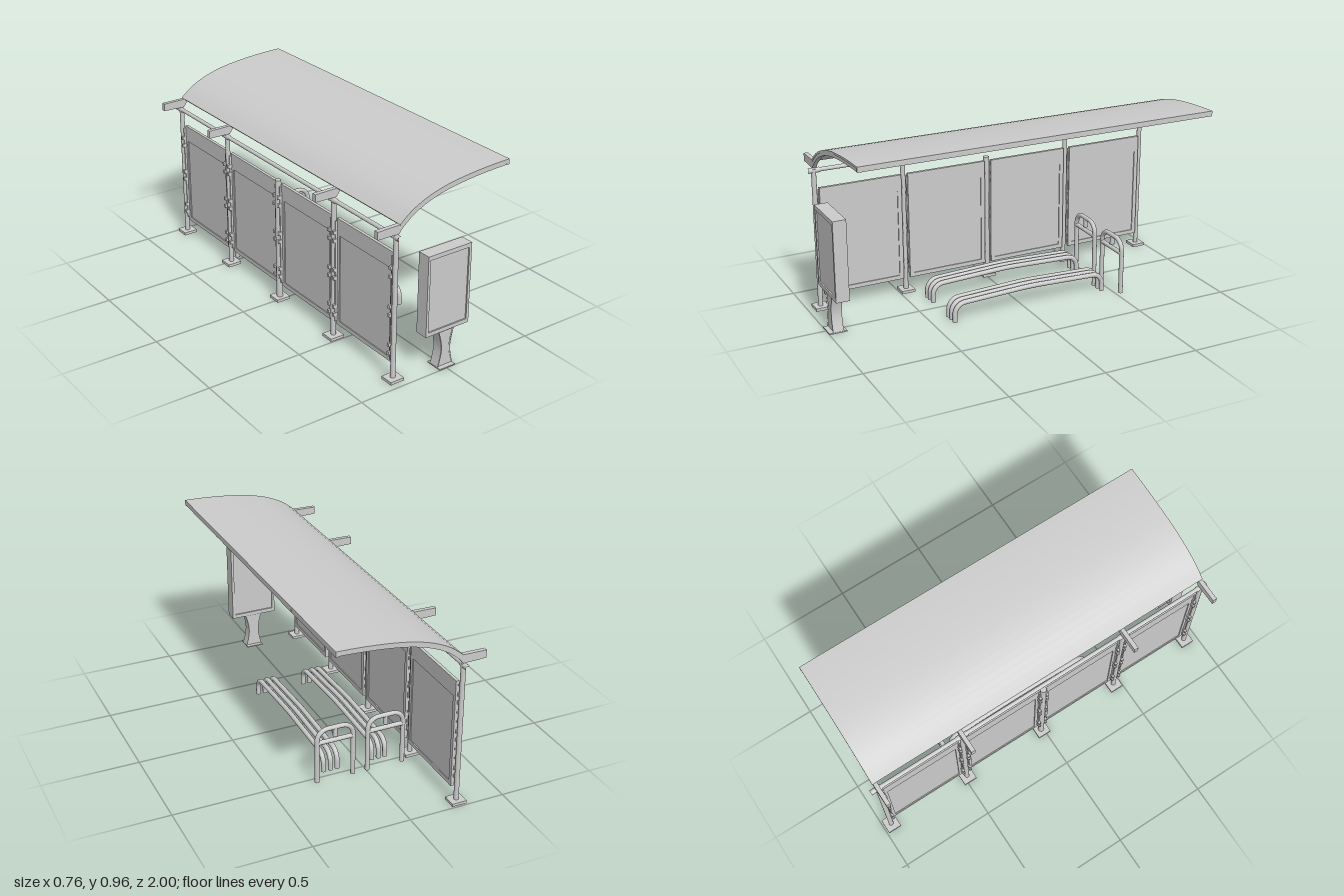
import * as THREE from 'three';
import { toCreasedNormals } from 'three/addons/utils/BufferGeometryUtils.js';

const grey = new THREE.MeshStandardMaterial({ color: 0xcccccc });
const V = (x, y, z) => new THREE.Vector3(x, y, z);

function add(parent, name, geometry) {
  const mesh = new THREE.Mesh(geometry, grey);
  mesh.name = name;
  parent.add(mesh);
  return mesh;
}

// Box given by its minimum and maximum along each axis
function box(parent, name, x0, x1, y0, y1, z0, z1) {
  const mesh = add(parent, name, new THREE.BoxGeometry(x1 - x0, y1 - y0, z1 - z0));
  mesh.position.set((x0 + x1) / 2, (y0 + y1) / 2, (z0 + z1) / 2);
  return mesh;
}

// Side profile in x and y, extruded from z0 to z1
function extrude(points, z0, z1, holePoints) {
  const shape = new THREE.Shape(points);
  if (holePoints) shape.holes.push(new THREE.Path(holePoints));
  const geometry = new THREE.ExtrudeGeometry(shape, { depth: z1 - z0, bevelEnabled: false });
  geometry.translate(0, 0, z0);
  return toCreasedNormals(geometry, 0.5);
}

const rect = (x0, x1, y0, y1) => [[x0, y0], [x1, y0], [x1, y1], [x0, y1]].map(p => new THREE.Vector2(...p));

// Path through points with rounded corners
function roundedPath(points, radius) {
  const path = new THREE.CurvePath();
  let last = points[0];
  for (let i = 1; i < points.length - 1; i++) {
    const p = points[i];
    const a = p.clone().add(points[i - 1].clone().sub(p).setLength(radius));
    const b = p.clone().add(points[i + 1].clone().sub(p).setLength(radius));
    path.add(new THREE.LineCurve3(last, a));
    path.add(new THREE.CubicBezierCurve3(a, a.clone().lerp(p, 0.55), b.clone().lerp(p, 0.55), b));
    last = b;
  }
  path.add(new THREE.LineCurve3(last, points[points.length - 1]));
  return path;
}

// Bent pipe standing on the ground at both ends
function groundPipe(parent, name, points, bend, radius) {
  add(parent, name, new THREE.TubeGeometry(roundedPath(points, bend), 80, radius, 12));
  for (const end of [points[0], points[points.length - 1]]) {
    const cap = add(parent, name + 'End', new THREE.CircleGeometry(radius, 12));
    cap.rotation.x = Math.PI / 2;
    cap.position.copy(end);
  }
}

// Arched roof outline: the top curve and a parallel curve below it
const roofTop = new THREE.SplineCurve([
  [-0.257, 0.803], [-0.19, 0.855], [-0.1, 0.897], [0, 0.925],
  [0.1, 0.941], [0.2, 0.951], [0.3, 0.957], [0.377, 0.959],
].map(p => new THREE.Vector2(...p)));

function roofOffset(depth) {
  const points = [];
  for (let i = 0; i <= 20; i++) {
    const p = roofTop.getPoint(i / 20), t = roofTop.getTangent(i / 20);
    points.push(new THREE.Vector2(p.x + t.y * depth, p.y - t.x * depth));
  }
  return points;
}

function buildRoof() {
  const roof = new THREE.Group();
  roof.name = 'roof';
  add(roof, 'roofSheet', extrude([...roofOffset(0), ...roofOffset(0.01).reverse()], -0.972, 0.942));
  box(roof, 'roofFrontEdge', 0.362, 0.377, 0.932, 0.957, -0.972, 0.942);
  // Ribs with a straight tail behind the posts
  const rib = [
    new THREE.Vector2(-0.38, 0.8), ...roofOffset(0.002), ...roofOffset(0.027).reverse(),
    new THREE.Vector2(-0.26, 0.757), new THREE.Vector2(-0.38, 0.76),
  ];
  for (const z of [-0.957, -0.486, 0.457, 0.929]) add(roof, 'roofRib', extrude(rib, z - 0.011, z + 0.011));
  return roof;
}

function buildPost(z, middle) {
  const post = new THREE.Group();
  post.name = 'post';
  const height = middle ? 0.67 : 0.75, r = middle ? 0.016 : 0.0125;
  const pole = add(post, 'pole', new THREE.CylinderGeometry(r, r, height, 20));
  pole.position.set(-0.269, height / 2, z);
  box(post, 'basePlate', -0.307, -0.23, 0, 0.015, z - 0.036, z + 0.036);
  if (!middle) {
    const sleeve = add(post, 'railSleeve', new THREE.CylinderGeometry(0.0135, 0.0135, 0.06, 20, 1, true));
    sleeve.rotation.x = Math.PI / 2;
    sleeve.position.set(-0.27, 0.742, z + (z < -0.9 ? -0.01 : 0));
  }
  // Clamps that hold the panels on each side
  for (const s of [-1, 1]) {
    if (z * s > 0.9) continue;
    const zs = z + s * 0.02;
    box(post, 'clampStrip', -0.274, -0.258, 0.1, 0.64, zs - 0.003, zs + 0.003);
    for (const y of [0.16, 0.36, 0.56]) {
      for (const dy of [-0.022, 0.022]) {
        box(post, 'clamp', -0.286, -0.256, y + dy - 0.009, y + dy + 0.009, zs - 0.008, zs + 0.005);
      }
    }
  }
  return post;
}

function buildPanel(z0, z1) {
  const panel = new THREE.Group();
  panel.name = 'wallPanel';
  const w = (z1 - z0) / 2, b = 0.022;
  const frame = add(panel, 'panelFrame', extrude(rect(-w, w, 0.08, 0.653), -0.008, 0.008,
    rect(-w + b, w - b, 0.102, 0.566)));
  frame.rotation.y = Math.PI / 2;
  frame.position.set(-0.255, 0, (z0 + z1) / 2);
  box(panel, 'pane', -0.258, -0.252, 0.1, 0.57, z0 + 0.02, z1 - 0.02);
  return panel;
}

function buildSign() {
  const sign = new THREE.Group();
  sign.name = 'infoSign';
  const x = 0.005;
  box(sign, 'signCore', x - 0.12, x + 0.12, 0.21, 0.61, 0.925, 0.979);
  add(sign, 'signFrame', extrude(rect(x - 0.128, x + 0.128, 0.2, 0.62), 0.917, 0.986,
    rect(x - 0.114, x + 0.114, 0.221, 0.598)));
  // Waisted pedestal with raised rim on both faces
  const outline = inset => {
    const side = new THREE.SplineCurve([[0.047, 0.2], [0.034, 0.15], [0.028, 0.1], [0.034, 0.05], [0.047, 0]]
      .map(([px, py]) => new THREE.Vector2(px - inset, 0.1 + (py - 0.1) * (1 - inset * 10)))).getPoints(16);
    return [...side.map(p => new THREE.Vector2(x + p.x, p.y)),
      ...side.reverse().map(p => new THREE.Vector2(x - p.x, p.y))];
  };
  add(sign, 'pedestalRim', extrude(outline(0), 0.925, 0.98, outline(0.006)));
  add(sign, 'pedestal', extrude(outline(0.003), 0.93, 0.975));
  box(sign, 'pedestalFoot', x - 0.047, x + 0.047, 0, 0.006, 0.908, 1);
  return sign;
}

// Low bowed rails in two sets of three
function buildRails() {
  const rails = new THREE.Group();
  rails.name = 'lowRails';
  for (const x of [-0.143, -0.107, -0.07, 0.122, 0.158, 0.196]) {
    groundPipe(rails, 'lowRail', [
      V(x, 0, 0.391), V(x, 0.096, 0.391), V(x, 0.112, -0.032), V(x, 0.096, -0.455), V(x, 0, -0.455),
    ], 0.055, 0.0125);
  }
  return rails;
}

// Tall hoop with a crossbar and a short hanging stub
function buildHoop(cx) {
  const hoop = new THREE.Group();
  hoop.name = 'hoop';
  const w = 0.0965, z = -0.53, r = 0.012;
  groundPipe(hoop, 'hoopPipe', [V(cx - w, 0, z), V(cx - w, 0.29, z), V(cx + w, 0.29, z), V(cx + w, 0, z)], 0.058, r);
  const bar = add(hoop, 'crossbar', new THREE.CylinderGeometry(r, r, 2 * w, 12));
  bar.rotation.z = Math.PI / 2;
  bar.position.set(cx, 0.22, z);
  const stub = add(hoop, 'stub', new THREE.CylinderGeometry(r, r, 0.05, 12));
  stub.position.set(cx, 0.265, z);
  return hoop;
}

export function createModel() {
  const model = new THREE.Group();
  model.name = 'busShelter';
  model.add(buildRoof());

  // Posts with wall panels between them
  const postZ = [-0.955, -0.484, -0.012, 0.459, 0.931];
  postZ.forEach((z, i) => {
    model.add(buildPost(z, i === 2));
    if (i < 4) model.add(buildPanel(z + 0.018, postZ[i + 1] - 0.018));
  });

  // Long hollow rail under the ribs
  const rail = add(model, 'topRail', new THREE.CylinderGeometry(0.0105, 0.0105, 1.95, 20, 1, true));
  rail.rotation.x = Math.PI / 2;
  rail.position.set(-0.27, 0.742, -0.018);

  model.add(buildSign(), buildRails(), buildHoop(-0.104), buildHoop(0.1685));
  return model;
}
